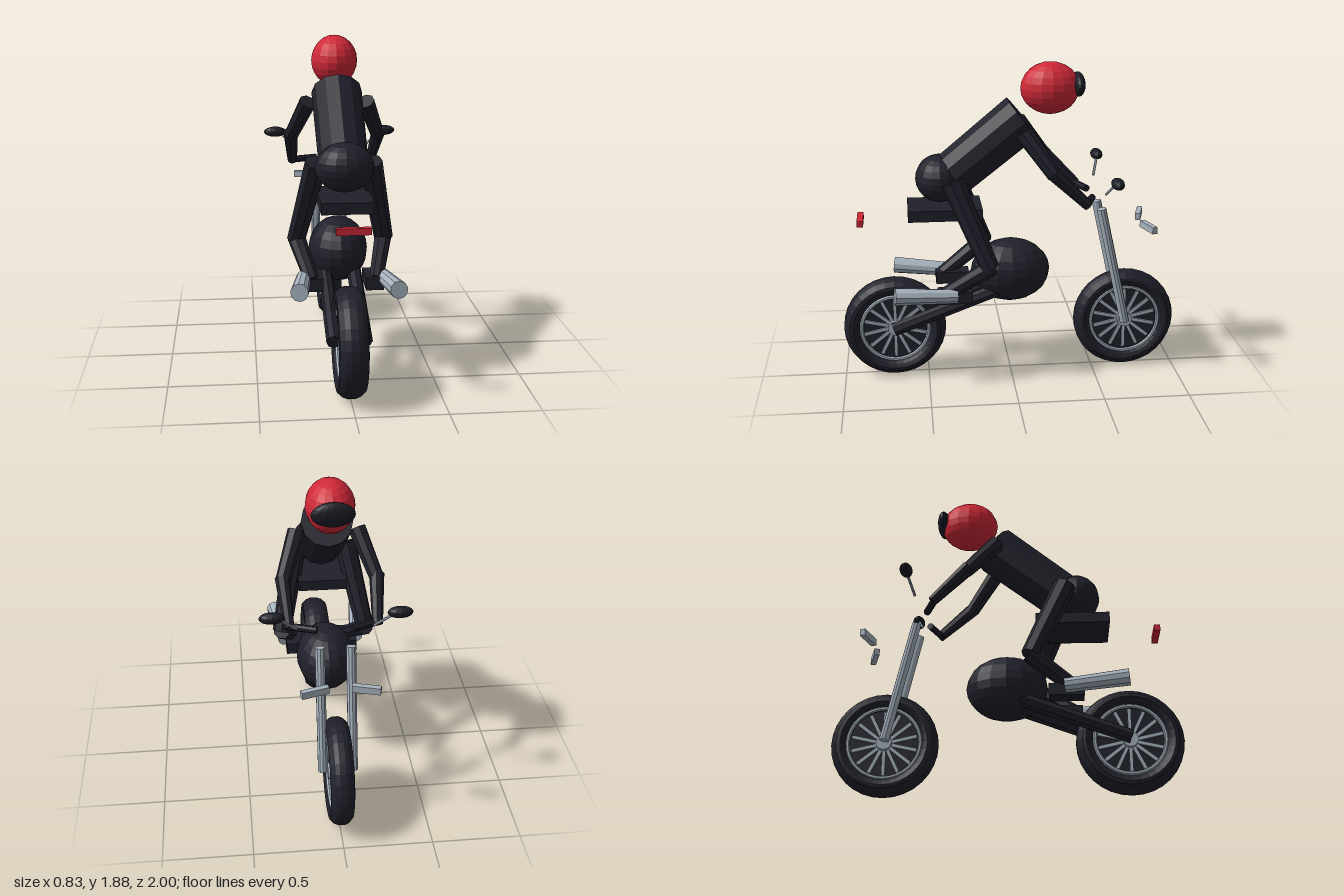
import * as THREE from 'three';

const mat = (name, color) => {
  const m = new THREE.MeshStandardMaterial({ color, flatShading: true });
  m.name = name;
  return m;
};

export function createModel() {
  const model = new THREE.Group();
  model.name = 'motorcycleWithRider';
  const dark = mat('charcoal', 0x20202b);
  const glass = mat('darkGlass', 0x1a1c24);
  const steel = mat('steel', 0xa6b2be);
  const red = mat('red', 0xd02838);

  const add = (name, geo, material, pos = [0, 0, 0], parent = model) => {
    const mesh = new THREE.Mesh(geo, material);
    mesh.name = name;
    mesh.position.set(...pos);
    parent.add(mesh);
    return mesh;
  };
  // Tapered cylinder from point a to point b
  const rod = (name, a, b, ra, rb, material, sides = 8) => {
    const from = new THREE.Vector3(...a), to = new THREE.Vector3(...b);
    const dir = to.clone().sub(from);
    const mid = from.add(to).multiplyScalar(0.5).toArray();
    const mesh = add(name, new THREE.CylinderGeometry(rb, ra, dir.length(), sides), material, mid);
    mesh.quaternion.setFromUnitVectors(new THREE.Vector3(0, 1, 0), dir.normalize());
    return mesh;
  };
  const ellipsoid = (name, pos, radii, material, w = 16, h = 12) =>
    add(name, new THREE.SphereGeometry(1, w, h).scale(...radii), material, pos);
  const box = (name, pos, size, material) => add(name, new THREE.BoxGeometry(...size), material, pos);

  // Wheel: tyre, rim rings, inner disc, spokes and hub, axle along x
  const wheel = (name, z, half, rimRadius) => {
    const g = new THREE.Group();
    g.name = name;
    g.position.set(0, 0.31, z);
    model.add(g);
    const profile = [[0.2, -0.5], [0.228, -0.85], [0.25, -1], [0.27, -0.95], [0.295, -0.6], [0.305, -0.25],
      [0.305, 0.25], [0.295, 0.6], [0.27, 0.95], [0.25, 1], [0.228, 0.85], [0.2, 0.5], [0.2, -0.5]]
      .map(([r, x]) => new THREE.Vector2(r, x * half));
    add('tyre', new THREE.LatheGeometry(profile, 32).rotateZ(Math.PI / 2), dark, [0, 0, 0], g);
    add('wheelDisc', new THREE.CylinderGeometry(0.205, 0.205, 0.05, 32).rotateZ(Math.PI / 2), dark, [0, 0, 0], g);
    for (const s of [-1, 1]) {
      add('rim', new THREE.TorusGeometry(rimRadius, 0.012, 6, 32).rotateY(Math.PI / 2), steel, [s * half * 0.65, 0, 0], g);
    }
    for (let i = 0; i < 14; i++) {
      const spoke = new THREE.BoxGeometry(0.07, 0.15, 0.02).translate(0, 0.115, 0);
      add('spoke', spoke.rotateX((i / 14) * Math.PI * 2), steel, [0, 0, 0], g);
    }
    add('hub', new THREE.CylinderGeometry(0.045, 0.045, 0.12, 12).rotateZ(Math.PI / 2), steel, [0, 0, 0], g);
  };
  wheel('rearWheel', 0.695, 0.08, 0.2);
  wheel('frontWheel', -0.695, 0.067, 0.207);

  // Motorcycle body
  ellipsoid('engine', [0, 0.645, 0], [0.175, 0.19, 0.236], dark);
  box('seat', [0, 1.032, 0.387], [0.29, 0.064, 0.43], dark);
  box('tailLight', [0, 0.983, 0.878], [0.185, 0.036, 0.036], red);

  // Rider trunk and head
  rod('torso', [0, 1.245, 0.33], [0, 1.57, -0.07], 0.14, 0.148, dark, 12);
  ellipsoid('hips', [0, 1.222, 0.415], [0.165, 0.138, 0.138], dark);
  ellipsoid('helmet', [0, 1.738, -0.23], [0.137, 0.15, 0.172], red);
  ellipsoid('visor', [0, 1.756, -0.39], [0.12, 0.07, 0.04], glass);

  // Mirrored pairs
  for (const s of [-1, 1]) {
    rod('swingarm', [s * 0.085, 0.315, 0.7], [s * 0.085, 0.56, 0.05], 0.042, 0.042, dark);
    rod('forkTube', [s * 0.086, 0.31, -0.69], [s * 0.086, 1.03, -0.53], 0.028, 0.028, steel, 10);
    rod('exhaust', [s * 0.225, 0.57, 0.33], [s * 0.27, 0.597, 0.69], 0.042, 0.05, steel, 10);
    rod('handlebarGrip', [s * 0.25, 1.105, -0.41], [s * 0.095, 1.105, -0.47], 0.021, 0.021, dark);
    rod('mirrorStem', [s * 0.21, 1.155, -0.53], [s * 0.31, 1.24, -0.565], 0.008, 0.008, steel, 6);
    ellipsoid('mirror', [s * 0.345, 1.253, -0.57], [0.071, 0.032, 0.037], glass, 12, 8);
    box('frontIndicator', [s * 0.138, 0.926, -0.803], [0.155, 0.04, 0.032], steel).rotation.y = s * 0.29;

    rod('upperArm', [s * 0.17, 1.515, -0.06], [s * 0.262, 1.29, -0.225], 0.052, 0.043, dark);
    rod('forearm', [s * 0.265, 1.305, -0.215], [s * 0.245, 1.1, -0.425], 0.043, 0.03, dark);
    rod('thigh', [s * 0.15, 1.235, 0.345], [s * 0.255, 0.745, 0.14], 0.068, 0.055, dark);
    rod('shin', [s * 0.255, 0.755, 0.13], [s * 0.18, 0.565, 0.4], 0.052, 0.042, dark);
    box('boot', [s * 0.17, 0.553, 0.34], [0.1, 0.072, 0.2], dark);
  }
  return model;
}
